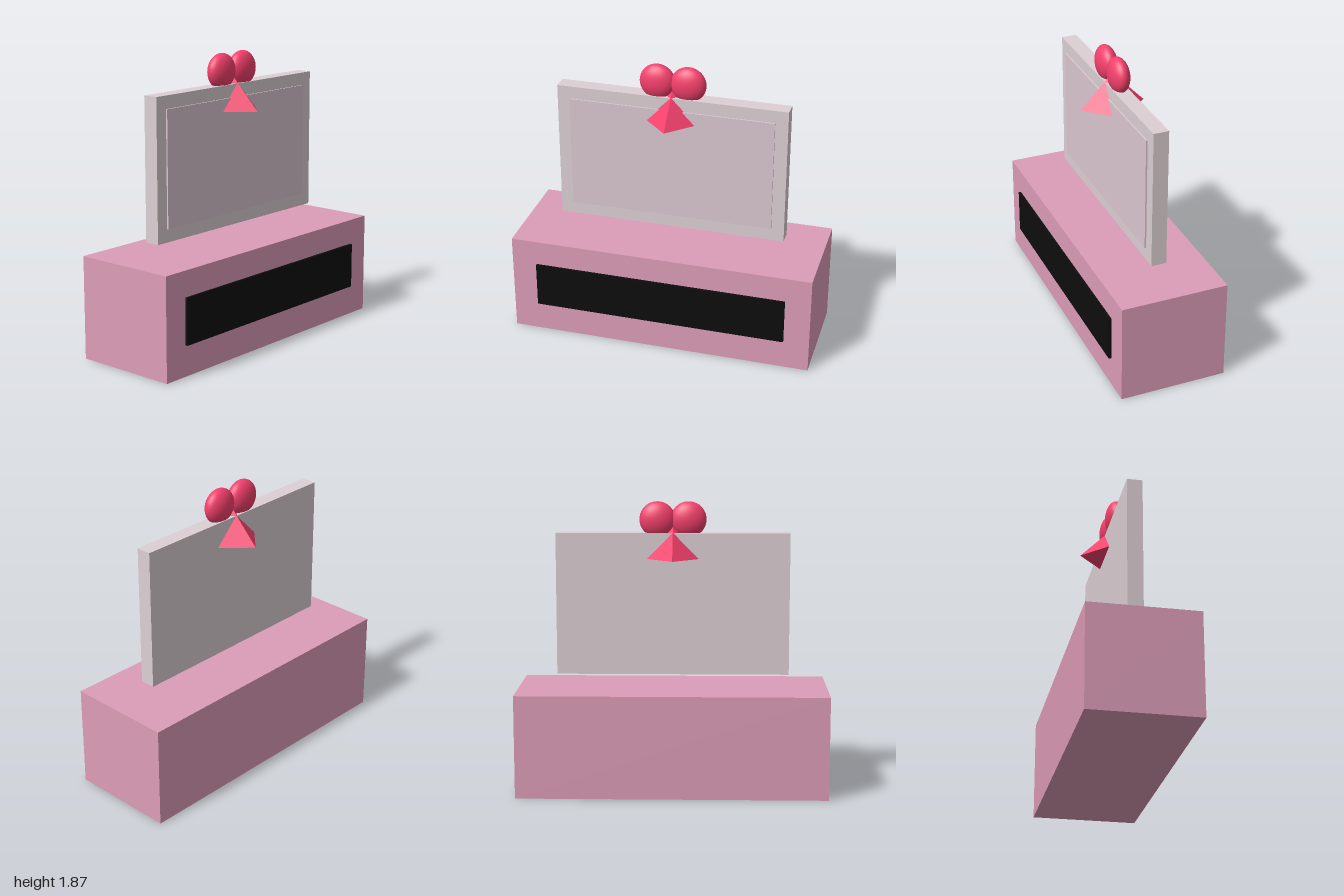
import * as THREE from 'three';

const mat = (color, flatShading = false) => new THREE.MeshStandardMaterial({ color, flatShading });

export function createModel() {
  const model = new THREE.Group();
  model.name = 'boxWithDisplayAndBow';

  const pink = mat(0xdd9db8);
  const black = mat(0x0d0d0d);
  const pale = mat(0xddd0d4);
  const screenPink = mat(0xdbc7d0);
  const red = mat(0xf5406c);
  const redFlat = mat(0xf5406c, true);

  // Box given by its minimum and maximum corners
  const box = (name, material, [x0, y0, z0], [x1, y1, z1]) => {
    const mesh = new THREE.Mesh(new THREE.BoxGeometry(x1 - x0, y1 - y0, z1 - z0), material);
    mesh.position.set((x0 + x1) / 2, (y0 + y1) / 2, (z0 + z1) / 2);
    mesh.name = name;
    model.add(mesh);
  };

  // Base with dark front panel
  box('base', pink, [-1, 0, -0.357], [1, 0.667, 0.343]);
  box('frontPanel', black, [-0.833, 0.2, 0.33], [0.833, 0.5, 0.36]);

  // Upright display floating above the base
  box('display', pale, [-0.75, 0.755, -0.057], [0.75, 1.67, 0.043]);
  box('screen', screenPink, [-0.667, 0.84, 0.03], [0.667, 1.587, 0.053]);

  // Bow: two flattened loops and a four-sided tail
  const bow = new THREE.Group();
  bow.name = 'bow';
  bow.position.z = -0.007;
  for (const side of [-1, 1]) {
    const loop = new THREE.Mesh(new THREE.SphereGeometry(0.115, 32, 20), red);
    loop.scale.z = 0.56;
    loop.position.set(side * 0.1, 1.755, 0);
    loop.name = side > 0 ? 'leftLoop' : 'rightLoop';
    bow.add(loop);
  }
  const tail = new THREE.Mesh(new THREE.ConeGeometry(0.215, 0.22, 4), redFlat);
  tail.position.y = 1.505 + 0.11;
  tail.name = 'bowTail';
  bow.add(tail);
  model.add(bow);

  return model;
}
